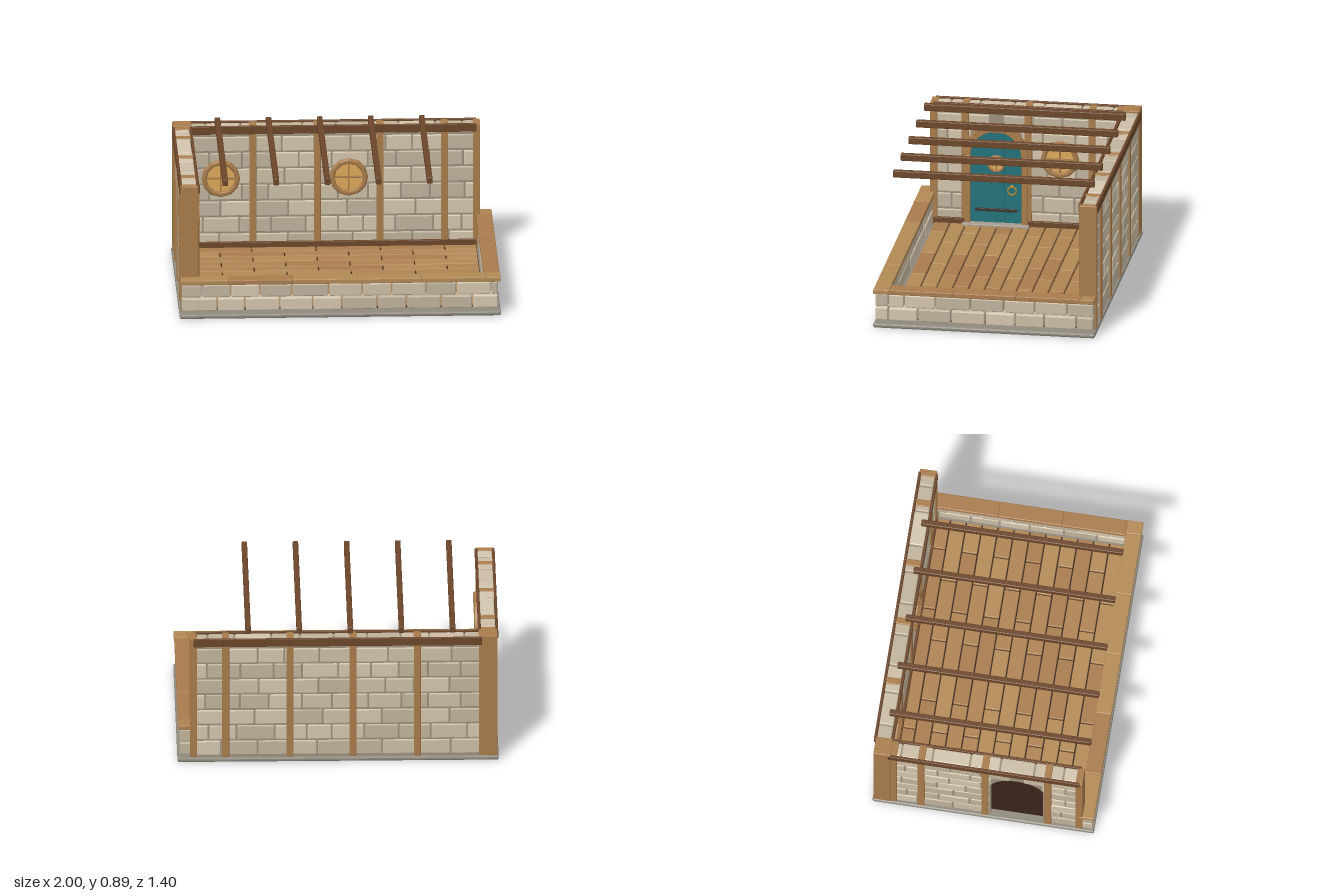
import * as THREE from 'three';
import { RoundedBoxGeometry } from 'three/addons/geometries/RoundedBoxGeometry.js';

const STONE = [0xd3c5ae, 0xcbbda5, 0xbfb29b];
const TIMBER = 0xa87b4a, DARK = 0x6b4529, OAK = [0xa87b4c, 0xb28955, 0xad8250];
const DOOR = { y: 0.51, r: 0.165, base: 0.05 };
const mats = {};

function mat(color) {
  return (mats[color] ??= new THREE.MeshStandardMaterial({ color, flatShading: true, side: THREE.DoubleSide }));
}

let seed = 7;
function rnd() {
  seed = (seed * 16807) % 2147483647;
  return seed / 2147483647;
}
const pick = (list) => list[Math.floor(rnd() * list.length)];

function add(parent, name, geometry, color) {
  const m = new THREE.Mesh(geometry, mat(color));
  m.name = name;
  parent.add(m);
  return m;
}

// Chamfered block given by its extents
function block(parent, name, color, x0, x1, y0, y1, z0, z1, bevel = 0.005) {
  const w = x1 - x0, h = y1 - y0, d = z1 - z0;
  const m = add(parent, name, new RoundedBoxGeometry(w, h, d, 1, Math.min(bevel, w / 3, h / 3, d / 3)), color);
  m.position.set((x0 + x1) / 2, (y0 + y1) / 2, (z0 + z1) / 2);
  return m;
}

// Row of blocks end to end along x, cut every `step`
function segments(parent, name, color, x0, x1, step, first, ...yz) {
  let a = x0;
  for (let b = first; a < x1 - 0.01; b += step) {
    const end = Math.min(b, x1);
    block(parent, name, Array.isArray(color) ? pick(color) : color, a, end, ...yz);
    a = end;
  }
}

// Running-bond masonry, leaving out an arched opening centred on doorU
function masonry(parent, u0, u1, y0, y1, rowH, half, doorU) {
  const gap = 0.004;
  for (let r = 0, y = y0; y < y1 - 0.01; r++, y += rowH) {
    const top = Math.min(y + rowH, y1);
    let w = 0;
    if (doorU !== undefined && y < DOOR.y + DOOR.r) {
      w = Math.sqrt(DOOR.r ** 2 - Math.max(0, y - DOOR.y) ** 2);
    }
    let a = u0, next = u0 + (r % 2 ? 0.11 : 0.2);
    while (a < u1 - 0.01) {
      let b = Math.min(next + (rnd() - 0.5) * 0.05, u1);
      if (u1 - b < 0.04) b = u1;
      const spans = w ? [[a, Math.min(b, doorU - w)], [Math.max(a, doorU + w), b]] : [[a, b]];
      for (const [s, e] of spans) {
        if (e - s < 0.02) continue;
        const t = half - rnd() * 0.004;
        block(parent, 'stone', pick(STONE), s + gap, e - gap, y + gap, top - gap, -t, t, 0.007);
      }
      a = b;
      next += 0.2;
    }
  }
}

function extrude(shape, depth) {
  return new THREE.ExtrudeGeometry(shape, { depth, bevelEnabled: false, curveSegments: 16 });
}

// Round window facing +z, with a faceted frame, amber pane and cross bars
function roundWindow(parent, u, y, z, r, barColor) {
  const g = new THREE.Group();
  g.name = 'roundWindow';
  g.position.set(u, y, z);
  parent.add(g);
  const profile = [[1, 0], [1, 0.13], [0.93, 0.22], [0.8, 0.22], [0.74, 0.13], [0.74, 0]]
    .map(([a, b]) => new THREE.Vector2(a * r, b * r));
  add(g, 'windowFrame', new THREE.LatheGeometry(profile, 12), TIMBER).rotation.x = Math.PI / 2;
  add(g, 'windowPane', new THREE.CylinderGeometry(r * 0.77, r * 0.77, r * 0.08, 12), 0xdca85a).rotation.x = Math.PI / 2;
  const l = r * 0.75, t = r * 0.045;
  block(g, 'windowBar', barColor, -l, l, -t, t, 0, r * 0.12, 0.001);
  block(g, 'windowBar', barColor, -t, t, -l, l, 0, r * 0.12, 0.001);
}

// Full-height wall in its own frame: runs along x, inside faces +z
function tallWall(name, u0, u1, studs, windows, beamCut, doorU) {
  const g = new THREE.Group();
  g.name = name;
  const core = new THREE.Shape();
  core.moveTo(u0 + 0.01, 0.03);
  if (doorU !== undefined) {
    core.lineTo(doorU - DOOR.r, 0.03);
    core.lineTo(doorU - DOOR.r, DOOR.y);
    core.absarc(doorU, DOOR.y, DOOR.r, Math.PI, 0, true);
    core.lineTo(doorU + DOOR.r, 0.03);
  }
  core.lineTo(u1 - 0.01, 0.03);
  core.lineTo(u1 - 0.01, 0.83);
  core.lineTo(u0 + 0.01, 0.83);
  add(g, 'mortar', extrude(core, 0.076), 0x9c907c).position.z = -0.038;
  masonry(g, u0, u1, 0.04, 0.84, 0.105, 0.047, doorU);
  for (const u of studs) block(g, 'stud', TIMBER, u - 0.022, u + 0.022, 0.035, 0.843, -0.055, 0.055);
  for (const [z0, z1] of [[0.045, 0.062], [-0.062, -0.045]]) {
    segments(g, 'topBeam', DARK, u0, u1, 0.4, beamCut, 0.792, 0.845, z0, z1, 0.003);
  }
  // Skirting, broken at the doorway
  const runs = doorU === undefined ? [[u0, u1]] : [[u0, doorU - 0.2], [doorU + 0.2, u1]];
  for (const [a, b] of runs) block(g, 'skirting', DARK, a, b, 0.05, 0.09, 0.04, 0.062, 0.003);
  for (const u of windows) roundWindow(g, u, 0.505, 0.045, 0.12, TIMBER);
  return g;
}

function buildDoor() {
  const g = new THREE.Group();
  g.name = 'door';
  const R = DOOR.r;
  // Planks cut to the arch
  [[-R, -0.054], [-0.052, 0.052], [0.054, R]].forEach(([a, b]) => {
    const s = new THREE.Shape();
    s.moveTo(a, DOOR.base);
    s.lineTo(b, DOOR.base);
    for (let i = 0; i <= 10; i++) {
      const x = b + ((a - b) * i) / 10;
      s.lineTo(x, DOOR.y + Math.sqrt(Math.max(0, R * R - x * x)));
    }
    add(g, 'doorPlank', extrude(s, 0.025), 0x22727a).position.z = 0.02;
  });
  // Dark panel behind the planks
  const back = new THREE.Shape();
  back.moveTo(-R, 0.03);
  back.lineTo(R, 0.03);
  back.absarc(0, DOOR.y, R, 0, Math.PI, false);
  add(g, 'doorBacking', extrude(back, 0.025), 0x3a2418).position.z = -0.006;
  // Arch stones of the timber surround, keystone and jambs
  const n = 8;
  for (let i = 0; i < n; i++) {
    const a0 = (Math.PI * i) / n + 0.015, a1 = (Math.PI * (i + 1)) / n - 0.015;
    const s = new THREE.Shape();
    s.absarc(0, DOOR.y, 0.2, a0, a1, false);
    s.absarc(0, DOOR.y, R - 0.003, a1, a0, true);
    s.closePath();
    const geo = new THREE.ExtrudeGeometry(s, { depth: 0.03, curveSegments: 2, bevelSize: 0.003, bevelThickness: 0.003, bevelSegments: 1 });
    add(g, 'archBlock', geo, TIMBER).position.z = 0.04;
  }
  block(g, 'keystone', TIMBER, -0.025, 0.025, 0.665, 0.72, 0.04, 0.08);
  for (const s of [-1, 1]) {
    block(g, 'jamb', TIMBER, s * 0.18 - 0.018, s * 0.18 + 0.018, DOOR.base, DOOR.y, 0.035, 0.07);
  }
  block(g, 'threshold', 0xa39c8c, -0.21, 0.21, 0.045, 0.068, 0.03, 0.097);
  // Fittings
  for (const y of [0.15, 0.475]) block(g, 'strap', 0x3a3633, -0.133, 0.133, y - 0.01, y + 0.01, 0.04, 0.053, 0.002);
  roundWindow(g, 0, 0.455, 0.047, 0.057, 0x3a3633);
  const ring = add(g, 'pullRing', new THREE.TorusGeometry(0.027, 0.005, 6, 14), 0xb8892f);
  ring.position.set(0.1, 0.283, 0.055);
  add(g, 'ringBoss', new THREE.SphereGeometry(0.011, 8, 6), 0xb8892f).position.set(0.1, 0.31, 0.052);
  return g;
}

// Waist-high wall with a timber capping
function lowWall(name, u0, u1, capU0, capU1, firstCut) {
  const g = new THREE.Group();
  g.name = name;
  masonry(g, u0, u1, 0.045, 0.222, 0.0885, 0.041);
  segments(g, 'capping', OAK, capU0, capU1, 0.4, firstCut, 0.22, 0.252, -0.05, 0.05);
  return g;
}

export function createModel() {
  seed = 7;
  const model = new THREE.Group();
  model.name = 'roomDiorama';

  // Base and floor
  block(model, 'baseSlab', 0x8f897d, -0.995, 1, 0, 0.03, -0.695, 0.697, 0.012);
  block(model, 'subfloor', 0x3a2418, -0.9, 0.9, 0.025, 0.04, -0.6, 0.6, 0.002);
  for (let i = 0; i < 12; i++) {
    const z = -0.6 + i * 0.1;
    const cuts = i % 2 ? [-0.9, -0.7, -0.3, 0.1, 0.5, 0.9] : [-0.9, -0.5, -0.1, 0.3, 0.7, 0.9];
    for (let k = 0; k < 5; k++) {
      block(model, 'floorPlank', pick(OAK), cuts[k] + 0.004, cuts[k + 1] - 0.004, 0.03, 0.055, z + 0.004, z + 0.096, 0.004);
    }
  }

  // Back wall
  const back = tallWall('backWall', -0.89, 0.9, [-0.49, -0.09, 0.3, 0.7, 0.9], [-0.69, 0.105], -0.49);
  back.position.z = -0.64;
  model.add(back);

  // Side wall with the doorway, turned so its inside faces +x
  const side = tallWall('doorWall', -0.605, 0.6, [-0.603, -0.405, -0.01, 0.39, 0.565], [0.19], -0.2, -0.21);
  side.rotation.y = Math.PI / 2;
  side.position.x = -0.932;
  const door = buildDoor();
  door.position.x = -0.21;
  side.add(door);
  model.add(side);
  block(model, 'cornerPost', TIMBER, -0.988, -0.872, 0.03, 0.85, -0.69, -0.582);

  // Low front and side walls
  const front = lowWall('lowFrontWall', -0.985, 0.985, -0.99, 0.998, -0.69);
  front.position.z = 0.647;
  model.add(front);
  const low = lowWall('lowSideWall', -0.603, 0.687, -0.597, 0.69, -0.2);
  low.rotation.y = Math.PI / 2;
  low.position.x = 0.946;
  model.add(low);

  // Ceiling joists
  for (let i = 0; i < 5; i++) {
    const x = -0.71 + i * 0.3175;
    block(model, 'joist', DARK, x - 0.017, x + 0.017, 0.845, 0.89, -0.63, 0.637);
  }
  return model;
}
